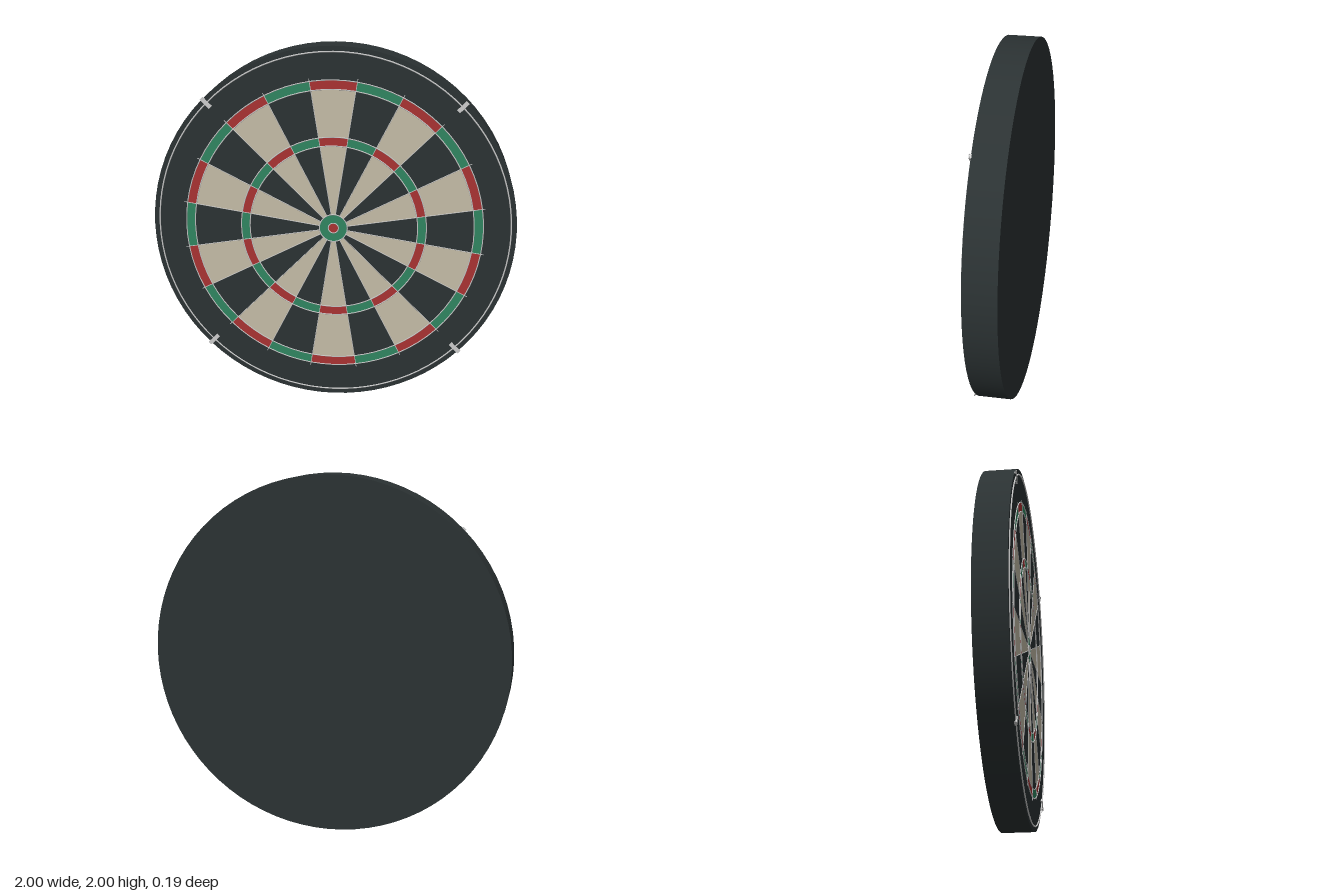
import * as THREE from 'three';

const material = (color, extra = {}) => new THREE.MeshStandardMaterial({ color, ...extra });

export function createModel() {
  const board = new THREE.Group();
  board.name = 'dartboard';
  const face = new THREE.Group();
  face.name = 'playingFace';
  face.position.set(0, 1, 0.083); // local z = 0 is the front of the body
  board.add(face);

  const dark = material(0x2b3233);
  const cream = material(0xc3bba6);
  const red = material(0xa83232);
  const green = material(0x2f8560);
  const wire = material(0xcccccc);

  const add = (parent, name, geometry, mat, x = 0, y = 0, z = 0) => {
    const mesh = new THREE.Mesh(geometry, mat);
    mesh.name = name;
    mesh.position.set(x, y, z);
    parent.add(mesh);
    return mesh;
  };

  // Thick round body
  const body = new THREE.CylinderGeometry(1, 1, 0.176, 80);
  body.rotateX(Math.PI / 2);
  add(board, 'body', body, dark, 0, 1, -0.005);

  // Twenty wedges: plain beds plus the coloured double and treble bands
  const step = Math.PI / 10;
  const bands = [
    ['innerBed', 0.075, 0.465, false],
    ['trebleBand', 0.465, 0.51, true],
    ['outerBed', 0.51, 0.77, false],
    ['doubleBand', 0.77, 0.82, true],
  ];
  for (let i = 0; i < 20; i++) {
    const start = Math.PI / 2 + (i - 0.5) * step;
    const even = i % 2 === 0;
    for (const [name, inner, outer, coloured] of bands) {
      const mat = coloured ? (even ? red : green) : (even ? cream : dark);
      add(face, name, new THREE.RingGeometry(inner, outer, 6, 1, start, step), mat, 0, 0, 0.001);
    }
  }

  // Bull
  add(face, 'outerBull', new THREE.RingGeometry(0.028, 0.075, 48), green, 0, 0, 0.001);
  add(face, 'innerBull', new THREE.CircleGeometry(0.028, 32), red, 0, 0, 0.001);

  // Circular wires and the outer hoop
  for (const radius of [0.028, 0.077, 0.463, 0.511, 0.77, 0.82]) {
    add(face, 'ringWire', new THREE.TorusGeometry(radius, 0.003, 6, 80), wire, 0, 0, 0.002);
  }
  add(face, 'outerHoop', new THREE.TorusGeometry(0.97, 0.004, 6, 96), wire, 0, 0, 0.003);

  // Radial wires between the wedges
  for (let i = 0; i < 20; i++) {
    const spoke = new THREE.CylinderGeometry(0.0022, 0.0022, 0.76, 6);
    spoke.translate(0, 0.457, 0);
    add(face, 'radialWire', spoke, wire, 0, 0, 0.002).rotation.z = (i + 0.5) * step;
  }

  // Four staple clips holding the hoop at the diagonals
  for (let i = 0; i < 4; i++) {
    const clip = new THREE.Group();
    clip.name = 'hoopClip';
    clip.rotation.z = Math.PI / 4 + i * Math.PI / 2;
    add(clip, 'clipBar', new THREE.BoxGeometry(0.022, 0.07, 0.004), wire, 0, 0.972, 0.008);
    for (const y of [0.943, 0.995]) {
      add(clip, 'clipFoot', new THREE.BoxGeometry(0.022, 0.01, 0.012), wire, 0, y, 0.003);
    }
    face.add(clip);
  }

  return board;
}
